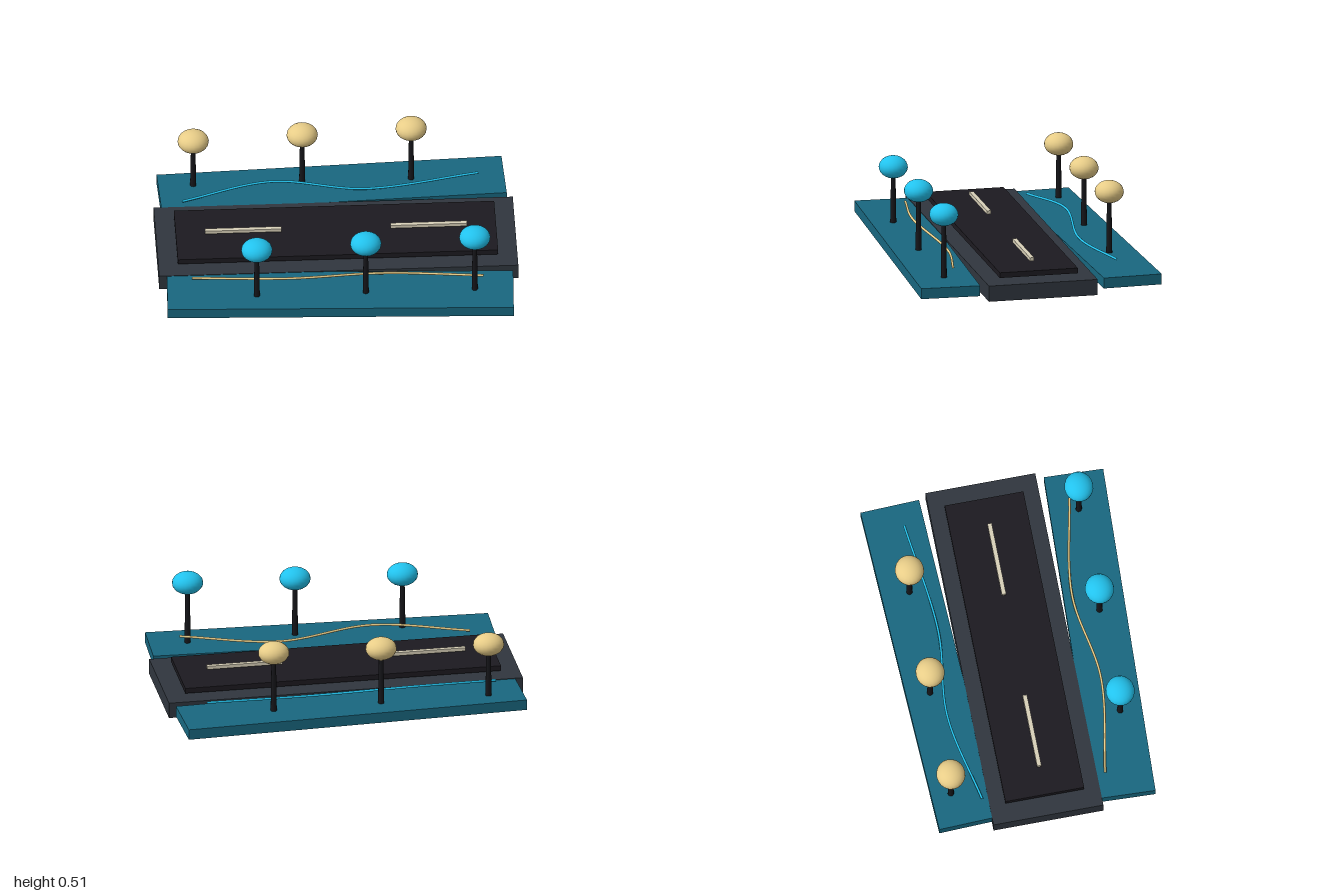
import * as THREE from 'three';

const mat = (color) => new THREE.MeshStandardMaterial({ color });

export function createModel() {
  const model = new THREE.Group();
  const slate = mat(0x30363e), asphalt = mat(0x1c1a20), teal = mat(0x18677f);
  const cream = mat(0xd8d0b8), gold = mat(0xe8cd88), blue = mat(0x22c3ee), black = mat(0x16161a);

  const add = (name, geometry, material, x, y, z) => {
    const mesh = new THREE.Mesh(geometry, material);
    mesh.name = name;
    mesh.position.set(x, y, z);
    model.add(mesh);
    return mesh;
  };
  const box = (name, w, h, d, material, x, y, z) =>
    add(name, new THREE.BoxGeometry(w, h, d), material, x, y, z);

  // Base slab with the road deck hovering just above it
  box('base', 2, 0.09, 0.622, slate, 0, 0.045, 0);
  box('road', 1.784, 0.03, 0.446, asphalt, 0, 0.118, 0);

  // Centre line dashes
  for (const x of [-0.517, 0.517]) box('laneDash', 0.426, 0.02, 0.024, cream, x, 0.154, 0);

  // Verges, fanned slightly outwards towards +x
  for (const side of [-1, 1]) {
    const verge = box('verge', 1.926, 0.06, 0.334, teal, 0, 0.057, side * 0.483);
    verge.rotation.y = -side * 0.039;
  }

  // Wavy ribbons along the verges
  const ribbon = (name, points, material) => {
    const curve = new THREE.CatmullRomCurve3(points.map((p) => new THREE.Vector3(...p)));
    add(name, new THREE.TubeGeometry(curve, 48, 0.007, 8), material, 0, 0, 0);
  };
  ribbon('frontRibbon', [[-0.82, 0.104, 0.356], [-0.28, 0.144, 0.437], [0.25, 0.113, 0.374], [0.8, 0.146, 0.466]], gold);
  ribbon('backRibbon', [[-0.84, 0.102, -0.345], [-0.34, 0.144, -0.445], [0.18, 0.112, -0.397], [0.815, 0.146, -0.467]], blue);

  // Trees, alternating back and front, each a little taller than the last
  for (let i = 0; i < 6; i++) {
    const front = i % 2 === 1;
    const x = -0.77 + i * 0.3035, z = front ? 0.509 : -0.509;
    const top = 0.396 + i * 0.0107;
    const height = top - 0.02 - 0.088;
    add('trunk', new THREE.CylinderGeometry(0.0125, 0.0175, height, 10), black, x, 0.088 + height / 2, z);
    add('crown', new THREE.SphereGeometry(1, 20, 14), front ? blue : gold, x, top, z)
      .scale.set(0.087, 0.063, 0.081);
  }
  return model;
}
